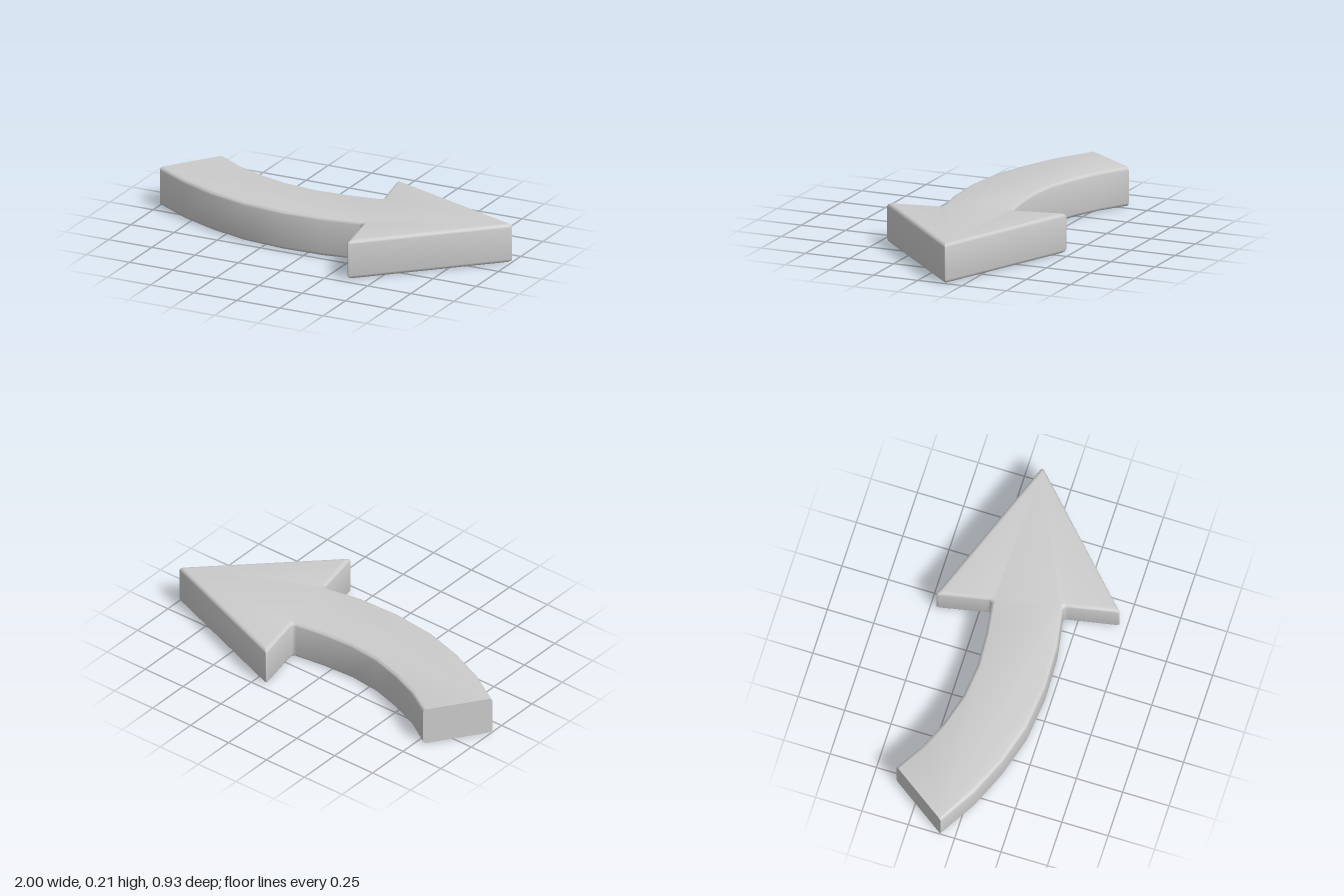
import * as THREE from 'three';
import { toCreasedNormals } from 'three/addons/utils/BufferGeometryUtils.js';

const HEIGHT = 0.21, BEVEL = 0.018, STEPS = 3, CORNER_STEPS = 4;

// Outline seen from above as [x, z, corner rounding], counter-clockwise.
// The last edge (back to the first point) is the flat, unbevelled tail end.
const OUTLINE = [
  [-1, -0.075, 0], [-0.8, 0.045, 0], [-0.6, 0.13, 0], [-0.38, 0.195, 0], [-0.14, 0.22, 0], [0.09, 0.213, 0],
  [0.308, 0.176, 0.025], [0.363, 0.468, 0.018], [1.008, -0.155, 0.018], [0.174, -0.472, 0.018], [0.233, -0.184, 0.025],
  [0.05, -0.16, 0], [-0.13, -0.15, 0], [-0.31, -0.17, 0], [-0.48, -0.22, 0], [-0.64, -0.288, 0], [-0.787, -0.38, 0],
];

// Outline moved inwards by d (except at the tail end), with its corners rounded
function insetOutline(d) {
  const n = OUTLINE.length;
  const pts = OUTLINE.map(([x, z]) => new THREE.Vector2(x, -z));
  const normals = pts.map((p, i) => {
    const e = pts[(i + 1) % n].clone().sub(p).normalize();
    return new THREE.Vector2(-e.y, e.x);
  });
  const moved = pts.map((p, i) => {
    const a = normals[(i + n - 1) % n], b = normals[i];
    const da = i === 0 ? 0 : d, db = i === n - 1 ? 0 : d;
    const det = a.x * b.y - a.y * b.x;
    return new THREE.Vector2(p.x + (da * b.y - db * a.y) / det, p.y + (a.x * db - b.x * da) / det);
  });
  return moved.flatMap((p, i) => {
    const r = OUTLINE[i][2];
    if (!r) return [p];
    const toward = (q) => p.clone().add(q.clone().sub(p).setLength(r));
    const curve = new THREE.QuadraticBezierCurve(toward(moved[i - 1]), p, toward(moved[(i + 1) % n]));
    return curve.getPoints(CORNER_STEPS);
  });
}

// Stacked outlines form the bevelled walls; triangulated caps close them
function arrowGeometry() {
  const layers = [];
  for (let i = 0; i <= STEPS; i++) {
    const t = (i / STEPS) * Math.PI / 2;
    layers.push([BEVEL * (1 - Math.sin(t)), BEVEL * (1 - Math.cos(t))]);
  }
  for (let i = STEPS; i >= 0; i--) layers.push([layers[i][0], HEIGHT - layers[i][1]]);

  const loops = layers.map(([d]) => insetOutline(d));
  const n = loops[0].length, last = layers.length - 1;
  const positions = [], index = [];
  loops.forEach((loop, k) => loop.forEach((p) => positions.push(p.x, layers[k][1], -p.y)));
  for (let k = 0; k < last; k++) {
    for (let i = 0; i < n; i++) {
      const a = k * n + i, b = k * n + (i + 1) % n;
      index.push(a, b, b + n, a, b + n, a + n);
    }
  }
  for (const [a, b, c] of THREE.ShapeUtils.triangulateShape(loops[0], [])) {
    index.push(c, b, a, a + last * n, b + last * n, c + last * n);
  }
  const geometry = new THREE.BufferGeometry();
  geometry.setAttribute('position', new THREE.Float32BufferAttribute(positions, 3));
  geometry.setIndex(index);
  return toCreasedNormals(geometry, 0.65);
}

export function createModel() {
  const group = new THREE.Group();
  group.name = 'curvedArrow';
  const arrow = new THREE.Mesh(arrowGeometry(), new THREE.MeshStandardMaterial({ color: 0xcccccc }));
  arrow.name = 'arrowBody';
  group.add(arrow);
  return group;
}
